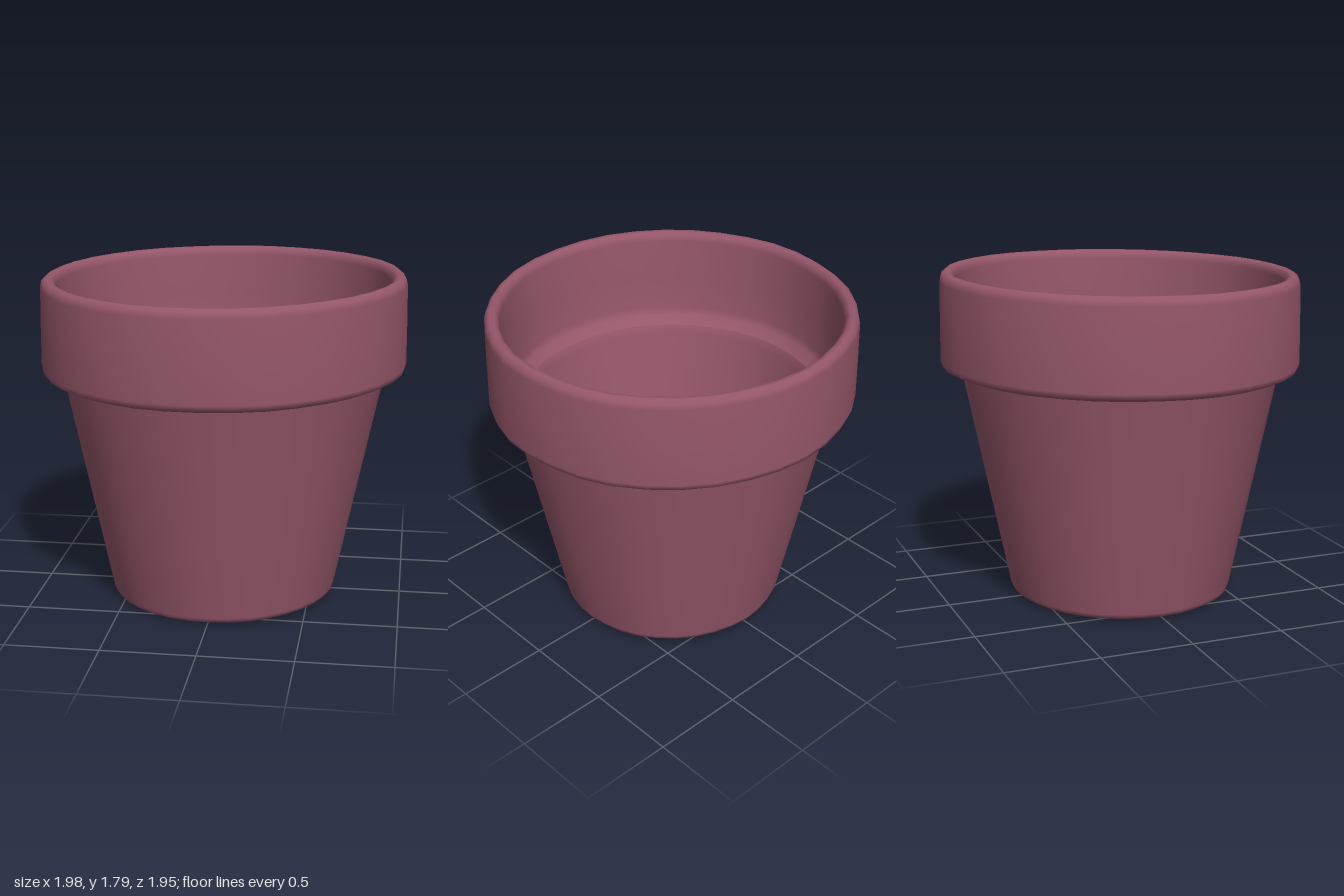
import * as THREE from 'three';
import { mergeVertices } from 'three/addons/utils/BufferGeometryUtils.js';

const SEGMENTS = 36;

// Revolve a profile, then give it a slightly uneven, hand-thrown shape
function thrown(profile) {
  let geo = new THREE.LatheGeometry(profile.map(([r, y]) => new THREE.Vector2(r, y)), SEGMENTS);
  geo.deleteAttribute('uv');
  geo.deleteAttribute('normal');
  geo = mergeVertices(geo, 1e-5);
  const p = geo.attributes.position;
  for (let i = 0; i < p.count; i++) {
    const x = p.getX(i), y = p.getY(i), z = p.getZ(i);
    const r = Math.hypot(x, z), a = Math.atan2(z, x);
    const wobble = r > 0.3 ? 1 + 0.004 * Math.sin(5 * a + 1) * Math.sin(2 * a) + 0.002 * Math.sin(11 * a) : 1;
    const shift = r < 0.3 ? 0.06 : 0.005; // the drain hole sits off centre
    p.setXYZ(i, x * wobble + shift, y + 0.011 * x - 0.009 * z, z * wobble * 0.985 - 0.004);
  }
  geo.computeVertexNormals();
  return geo;
}

export function createModel() {
  const group = new THREE.Group();
  const clay = new THREE.MeshStandardMaterial({ color: 0x96576a });
  clay.name = 'dusty rose clay';

  const add = (name, profile) => {
    const mesh = new THREE.Mesh(thrown(profile), clay);
    mesh.name = name;
    group.add(mesh);
  };

  // Tapered wall, outside
  add('outerWall', [
    [0.56, 0.012], [0.6, 0.014], [0.618, 0.024], [0.626, 0.045],
    [0.71, 0.45], [0.795, 0.86], [0.878, 1.26],
  ]);
  // Underside
  add('underside', [[0.13, 0.012], [0.35, 0.012], [0.56, 0.012]]);
  // Thick collar: underside, outer band, rounded lip and inner band
  add('rim', [
    [0.878, 1.26], [0.955, 1.268], [0.98, 1.28], [0.99, 1.31], [0.988, 1.52], [0.984, 1.735],
    [0.976, 1.765], [0.955, 1.782], [0.93, 1.78], [0.912, 1.765], [0.904, 1.735],
    [0.89, 1.5], [0.878, 1.32], [0.862, 1.28], [0.815, 1.235],
  ]);
  // Inside of the tapered wall and the floor
  add('innerWall', [
    [0.815, 1.235], [0.795, 1.19], [0.69, 0.66], [0.6, 0.17], [0.585, 0.135], [0.56, 0.12],
    [0.53, 0.118], [0.16, 0.118], [0.13, 0.118],
  ]);
  // Drain hole
  add('drainHole', [[0.13, 0.118], [0.13, 0.012]]);

  return group;
}
